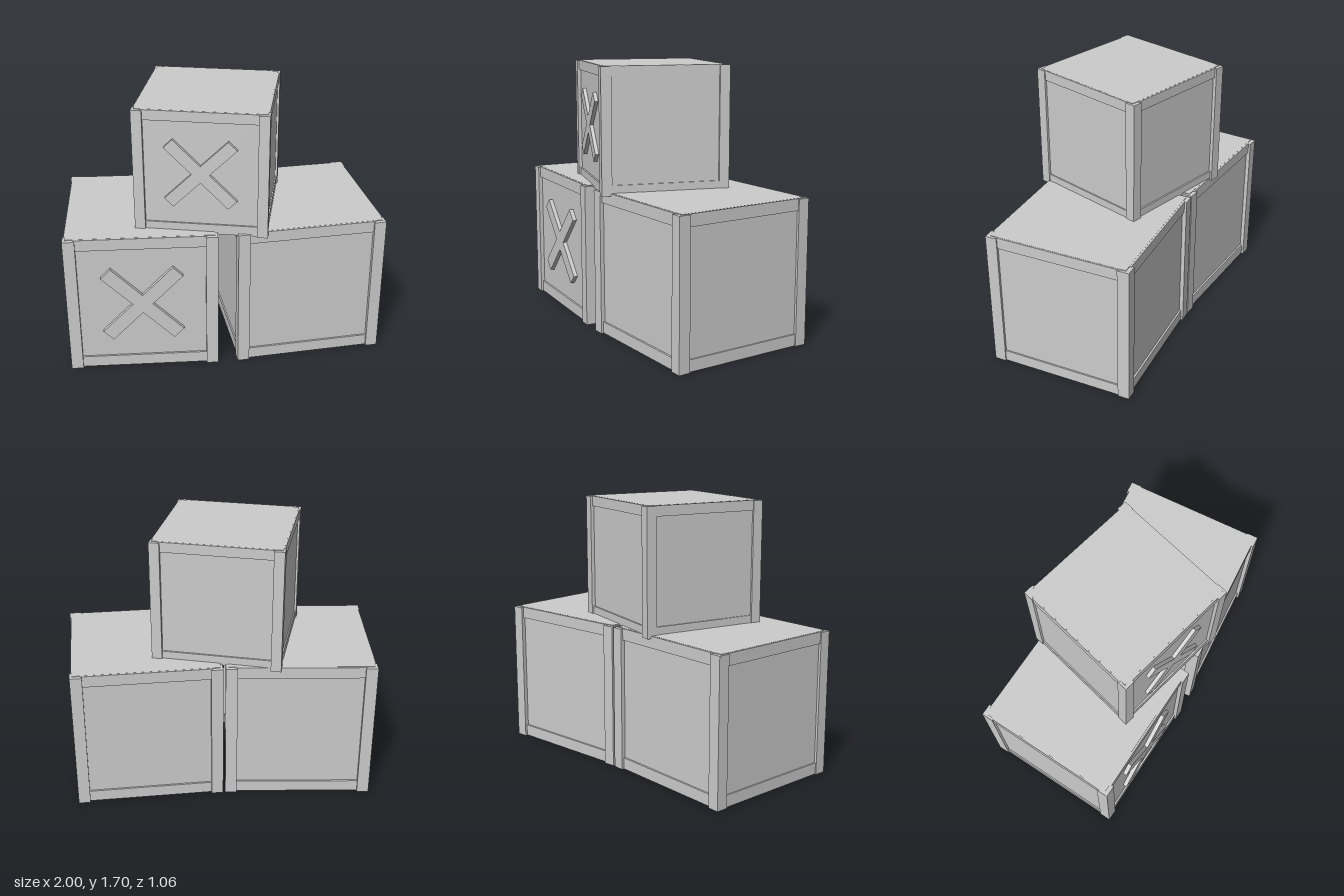
import * as THREE from 'three';

const HALF = 0.47;      // half width of a crate over its posts
const HEIGHT = 0.9225;
const POST = 0.075;

const box = (name, size, pos, material) => {
  const mesh = new THREE.Mesh(new THREE.BoxGeometry(...size), material);
  mesh.name = name;
  mesh.position.set(...pos);
  return mesh;
};

// Diagonal cross as one solid piece
function crossGeometry() {
  const a = 0.044, b = 0.315;
  const pts = [[a, a], [b, a], [b, -a], [a, -a], [a, -b], [-a, -b], [-a, -a], [-b, -a], [-b, a], [-a, a], [-a, b], [a, b]];
  const shape = new THREE.Shape(pts.reverse().map(([x, y]) => new THREE.Vector2(x, y)));
  return new THREE.ExtrudeGeometry(shape, { depth: 0.04, bevelEnabled: false }).rotateZ(Math.PI / 4);
}

function createCrate(name, material, hasCross) {
  const crate = new THREE.Group();
  crate.name = name;
  const railX = HALF - 0.007, railZ = HALF - 0.014;   // outer faces of the rails
  const bodyX = railX - 0.009, bodyZ = railZ - 0.012; // recessed panels
  crate.add(box('body', [bodyX * 2, HEIGHT, bodyZ * 2], [0, HEIGHT / 2, 0], material));

  // Corner posts
  for (const sx of [-1, 1]) for (const sz of [-1, 1]) {
    const c = HALF - POST / 2;
    crate.add(box('cornerPost', [POST, HEIGHT - 0.005, POST], [sx * c, HEIGHT / 2 - 0.0015, sz * c], material));
  }

  // Top and bottom rails on all four sides
  const span = (HALF - POST) * 2 + 0.02, t = 0.04;
  for (const y of [0.0405, HEIGHT - 0.038]) for (const s of [-1, 1]) {
    crate.add(box('frontBackRail', [span, 0.074, t], [0, y, s * (railZ - t / 2)], material));
    crate.add(box('sideRail', [t, 0.074, span], [s * (railX - t / 2), y, 0], material));
  }

  // Raised cross on the front panel
  if (hasCross) {
    const cross = new THREE.Mesh(crossGeometry(), material);
    cross.name = 'cross';
    cross.position.set(0, 0.465, HALF - 0.04);
    crate.add(cross);
  }
  return crate;
}

export function createModel() {
  const model = new THREE.Group();
  model.name = 'crateStack';
  const grey = new THREE.MeshStandardMaterial({ color: 0xcccccc });
  grey.name = 'light grey';

  const rightCrate = createCrate('rightCrate', grey, true);
  rightCrate.position.set(-0.53, 0, 0.05);

  const leftCrate = createCrate('leftCrate', grey, false);
  leftCrate.position.set(0.476, 0, -0.011);
  leftCrate.rotation.y = 0.12;

  const topCrate = createCrate('topCrate', grey, true);
  topCrate.position.set(-0.08, 0.904, 0.05);
  topCrate.rotation.y = -0.2;
  topCrate.scale.set(0.868, 0.858, 0.868);

  model.add(rightCrate, leftCrate, topCrate);
  return model;
}
